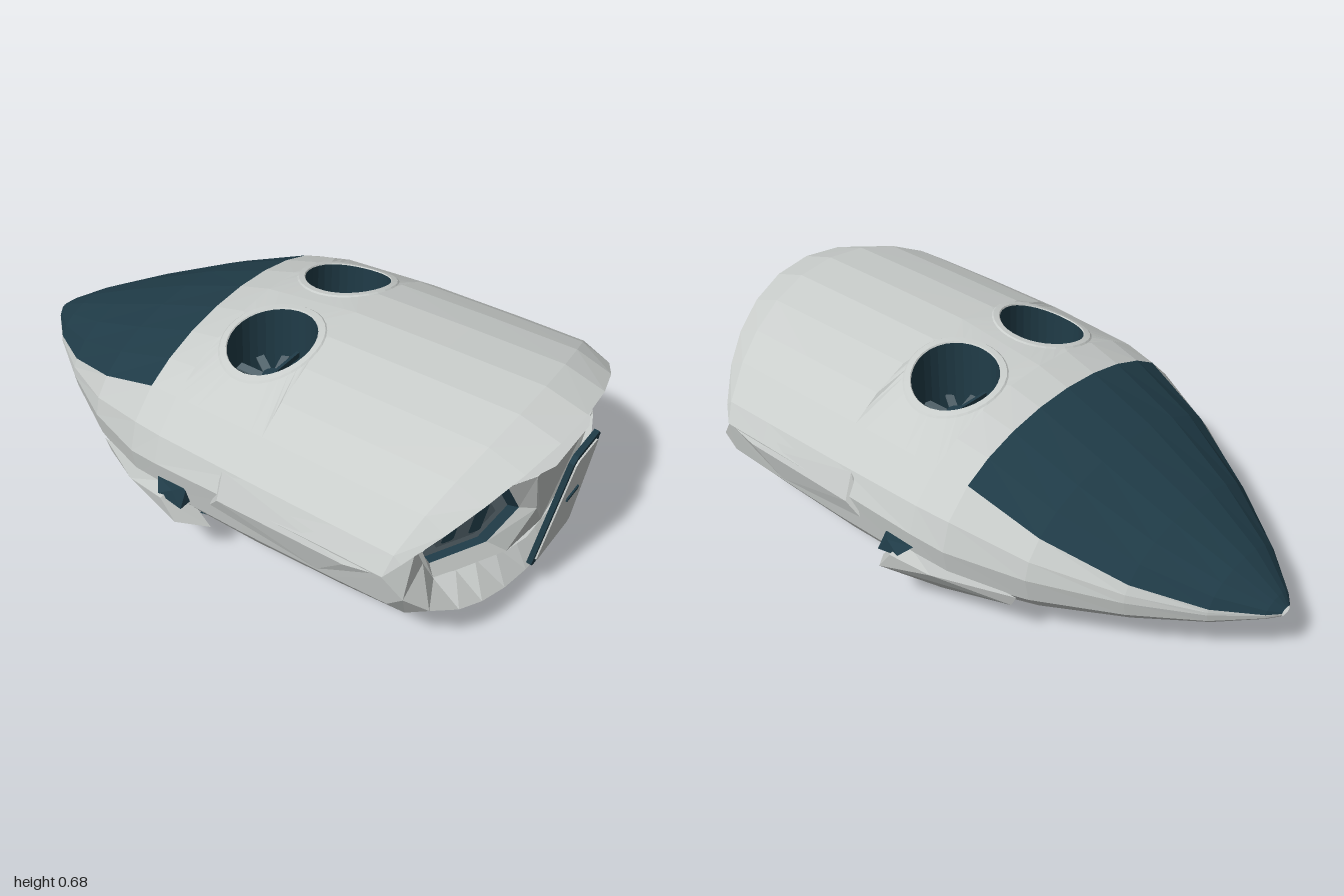
import * as THREE from 'three';
import { ConvexGeometry } from 'three/addons/geometries/ConvexGeometry.js';

const V = (x, y, z) => new THREE.Vector3(x, y, z);
const rad = THREE.MathUtils.degToRad;
const lerp = THREE.MathUtils.lerp;

function material(name, color) {
  const m = new THREE.MeshStandardMaterial({ color, flatShading: true, side: THREE.DoubleSide });
  m.name = name;
  return m;
}

// Hull stations: z, half width, seam height, top, bottom, canopy edge angle, roof power
const stations = [
  [-1, 0.022, 0.205, 0.215, 0.19, 85, 1.05], [-0.97, 0.062, 0.207, 0.24, 0.18, 84, 1.05],
  [-0.85, 0.175, 0.215, 0.315, 0.145, 78, 1.05], [-0.66, 0.312, 0.24, 0.41, 0.1, 70, 1.05],
  [-0.42, 0.457, 0.28, 0.52, 0.053, 60, 1.05], [-0.19, 0.55, 0.315, 0.607, 0.02, 53, 1.0],
  [-0.08, 0.57, 0.335, 0.64, 0.008, 53, 1.1], [0.24, 0.585, 0.36, 0.682, 0.008, 53, 1.32],
  [0.55, 0.59, 0.37, 0.688, 0.03, 53, 1.4], [0.855, 0.59, 0.37, 0.69, 0.055, 53, 1.42],
];
const FAN_BAY = 6; // station interval that holds the lift fans

function sectionAt(z) {
  let i = 0;
  while (i < stations.length - 2 && z > stations[i + 1][0]) i++;
  const a = stations[i], b = stations[i + 1];
  const k = (z - a[0]) / (b[0] - a[0]);
  return a.map((v, n) => lerp(v, b[n], k));
}

// Lens-shaped cross-section; t runs from top centre (0) to bottom centre (PI)
function lens(t, w, seam, top, bottom, roof, belly) {
  const c = Math.cos(t);
  const y = c >= 0 ? seam + (top - seam) * Math.pow(c, roof)
    : seam - (seam - bottom) * Math.pow(-c, belly);
  return [w * Math.sin(t), y];
}

function hullPoint(t, z) {
  const [, w, seam, top, bottom, , roof] = sectionAt(z);
  const [x, y] = lens(t, w, seam, top, bottom, roof, 0.75);
  return V(x, y, z);
}

// Columns 0-3 roof, 4-8 flank, 9-12 belly
function angles(edge) {
  const list = [];
  for (let i = 0; i <= 4; i++) list.push(rad(edge * i / 4));
  list.push(rad((edge + 90) / 2));
  for (let i = 0; i <= 3; i++) list.push(rad(90 + 15 * i));
  for (let i = 1; i <= 4; i++) list.push(rad(135 + 11.25 * i));
  return list;
}

// Skin between rings of points; keep(row, column) chooses the faces
function loft(rings, closed = false, keep = () => true) {
  const n = rings[0].length, index = [];
  for (let j = 0; j < rings.length - 1; j++) {
    for (let i = 0; i < (closed ? n : n - 1); i++) {
      if (!keep(j, i)) continue;
      const a = j * n + i, b = j * n + (i + 1) % n;
      index.push(a, a + n, b, b, a + n, b + n);
    }
  }
  const g = new THREE.BufferGeometry().setFromPoints(rings.flat());
  g.setIndex(index);
  g.computeVertexNormals();
  return g;
}

// Leaning rear wall, swept back towards the sides
const wallZ = (x, y) => 0.93 - 0.53 * Math.max(0, Math.abs(x) - 0.13) + 0.18 * (y - 0.37);
const onWall = (x, y, d = 0) => V(x, y, wallZ(x, y) + d);

function polygon(points) {
  return new THREE.Shape(points.map(([x, y]) => new THREE.Vector2(x, y)));
}

// Flat plate pressed against the rear wall
function wallPlate(points, depth) {
  const g = new THREE.ShapeGeometry(polygon(points));
  const p = g.attributes.position;
  for (let i = 0; i < p.count; i++) p.setZ(i, wallZ(p.getX(i), p.getY(i)) + depth);
  g.computeVertexNormals();
  return g;
}

// Square counterparts of cosine, for walking round a rectangle (k is in turns)
function squareWave(k) {
  const d = Math.abs(k - Math.round(k));
  return THREE.MathUtils.clamp(2 - 8 * d, -1, 1);
}

export function createModel() {
  const root = new THREE.Group();
  const grey = material('hull grey', 0xc9cdcb);
  const teal = material('dark teal', 0x203c48);
  const slate = material('slate', 0x687a82);
  const darkSlate = material('dark slate', 0x55666e);

  function add(parent, name, geometry, mat) {
    const m = new THREE.Mesh(geometry, mat);
    m.name = name;
    parent.add(m);
  }

  const hullRings = stations.map((s, j) => angles(s[5]).map(t => {
    const p = hullPoint(t, s[0]);
    if (j === stations.length - 1) p.z -= 0.135 * Math.sin(t) ** 2;
    return p;
  }));
  const tail = angles(53);
  // Upper and lower lips run straight back from the side corners
  const lip = tail.map(t => {
    const [x, y] = lens(t, 0.59, 0.37, 0.652, 0.115, 1.65, 0.95);
    return V(x, y, 0.718 + (y > 0.37 ? 0.945 : 0.83) * Math.abs(y - 0.37));
  });
  const recess = tail.map(t => {
    const s = Math.sin(t), c = Math.min(1, 1.9 * Math.abs(Math.cos(t)));
    const y = t < Math.PI / 2 ? 0.37 + 0.16 * c : 0.37 - 0.155 * c;
    return V(Math.min(0.45 * s, 0.45 - 0.41 * Math.abs(y - 0.37)), y, 0.86 - 0.12 * s * s);
  });
  const wallEdge = recess.map(p => onWall(p.x, p.y));
  const isCanopy = (j, i) => j < 5 && i < 4;
  const isFanBay = (j, i) => j === FAN_BAY && (i < 4 || i >= 9);

  // Each half is built on +x, then mirrored
  for (const side of [1, -1]) {
    const half = new THREE.Group();
    half.name = side > 0 ? 'leftHalf' : 'rightHalf';
    half.scale.x = side;
    root.add(half);

    add(half, 'hull', loft(hullRings, false, (j, i) => !isCanopy(j, i) && !isFanBay(j, i)), grey);
    add(half, 'canopy', loft(hullRings, false, isCanopy), teal);
    add(half, 'tailLip', loft([hullRings.at(-1), lip, recess, wallEdge]), grey);

    // Hull skin around the lift duct openings, top and bottom
    const z0 = stations[FAN_BAY][0], z1 = stations[FAN_BAY + 1][0];
    const turns = Array.from({ length: 32 }, (_, i) => i / 32);
    const rims = [];
    for (const lower of [false, true]) {
      const span = rad(lower ? 45 : 53);
      const onHull = (t, z) => hullPoint(lower ? Math.PI - t : t, z);
      const circle = r => turns.map(k => {
        const x = 0.2 + r * Math.cos(k * 2 * Math.PI), z = 0.08 + r * Math.sin(k * 2 * Math.PI);
        return onHull(Math.asin(x / sectionAt(z)[1]), z);
      });
      const border = turns.map(k => {
        const u = 2 + 2 * squareWave(k), z = lerp(z0, z1, 0.5 + 0.5 * squareWave(k - 0.25));
        const col = Math.min(3, Math.floor(u));
        return onHull(span * col / 4, z).lerp(onHull(span * (col + 1) / 4, z), u - col);
      });
      const hole = circle(0.134);
      add(half, 'fanBaySkin', loft([hole, circle(0.148), border], true), grey);
      rims.push(hole);
      // Slightly raised collar
      const lift = lower ? -0.003 : 0.004;
      const collar = [[0.134, 0], [0.137, lift], [0.155, lift], [0.16, 0]].map(([r, d]) =>
        circle(r).map(p => p.add(V(0, d, 0))));
      add(half, 'ductCollar', loft(collar, true), grey);
    }
    add(half, 'liftDuct', loft(rims, true), teal);

    // Lift fan
    const fan = new THREE.Group();
    fan.name = 'liftFan';
    fan.position.set(0.2, 0.48, 0.08);
    half.add(fan);
    add(fan, 'fanHub', new THREE.CylinderGeometry(0.032, 0.032, 0.05, 12), teal);
    for (let i = 0; i < 10; i++) {
      const blade = new THREE.BoxGeometry(0.1, 0.008, 0.026);
      blade.rotateX(0.2).translate(0.076, 0, 0).rotateY((i + 0.5) * Math.PI / 5);
      add(fan, 'fanBlade', blade, darkSlate);
    }
    add(fan, 'fanStrut', new THREE.BoxGeometry(0.26, 0.02, 0.01).translate(0, 0.02, 0), teal);
    if (side > 0) {
      add(half, 'ductShutter', new THREE.CylinderGeometry(0.133, 0.133, 0.01, 32).translate(0.2, 0.06, 0.08), teal);
    }

    // Rear wall with a hexagonal engine bay
    const hex = (s) => [[-0.083, 0.115], [0.083, 0.115], [0.147, 0], [0.083, -0.113], [-0.083, -0.113], [-0.147, 0]]
      .map(([x, y]) => [0.297 + x * s, 0.375 + y * s]);
    const outer = [[0.17, 0.53], [0.385, 0.53], [0.45, 0.37], [0.385, 0.215], [0.17, 0.215], [0.12, 0.37]];
    const ring = (pts, d) => pts.map(([x, y]) => onWall(x, y, d));
    add(half, 'rearWall', loft([ring(outer, 0), ring(hex(1), -0.03)], true), grey);
    add(half, 'centreWall', wallPlate([[0, 0.215], [0.17, 0.215], [0.12, 0.37], [0.17, 0.53], [0, 0.53]], 0), grey);
    add(half, 'bayRim', loft([ring(hex(1), -0.03), ring(hex(0.93), -0.055)], true), teal);
    add(half, 'bayFrame', wallPlate(hex(0.93), -0.055), slate);
    add(half, 'bayInset', wallPlate(hex(0.66), -0.05), darkSlate);
    for (const x of [0.255, 0.333]) {
      const w = 0.018, h = 0.056, c = 0.006;
      add(half, 'exhaustSlot', wallPlate([[-w, -h + c], [-w + c, -h], [w - c, -h], [w, -h + c],
        [w, h - c], [w - c, h], [-w + c, h], [-w, h - c]].map(([a, b]) => [x + a, 0.375 + b]), -0.042), teal);
    }

    // Side intake shroud with a dark opening at its back
    add(half, 'sideShroud', new ConvexGeometry([
      V(0.46, 0.2, -0.39), V(0.46, 0.16, -0.37), V(0.585, 0.24, -0.17), V(0.61, 0.255, -0.03),
      V(0.61, 0.185, 0.02), V(0.49, 0.1, -0.12), V(0.53, 0.14, 0.09), V(0.54, 0.27, -0.02),
    ]), grey);
    add(half, 'shroudOpening', new ConvexGeometry([
      V(0.56, 0.29, 0.03), V(0.59, 0.285, 0), V(0.598, 0.255, -0.05),
      V(0.56, 0.28, -0.08), V(0.597, 0.235, 0.035), V(0.55, 0.24, 0.04),
    ]), teal);
    add(half, 'shroudVent', new ConvexGeometry([
      V(0.43, 0.088, -0.03), V(0.41, 0.078, 0.14), V(0.47, 0.1, 0), V(0.4, 0.11, 0.08),
    ]), teal);

    // Faceted ridge along the side seam
    add(half, 'sideRidge', new ConvexGeometry([
      V(0.588, 0.37, 0.71), V(0.596, 0.35, 0.6), V(0.592, 0.34, 0.17), V(0.56, 0.43, 0.17),
      V(0.575, 0.29, 0.13), V(0.55, 0.35, 0.14), V(0.57, 0.25, 0.5),
    ]), grey);
  }

  // Leaning rear door with frame and handle
  const door = new THREE.Group();
  door.name = 'rearDoor';
  door.position.set(0, 0.145, 0.925);
  door.rotation.x = Math.atan(0.15);
  root.add(door);
  const trapezoid = (b, t, y0, y1, c) => polygon([[-b + c, y0], [b - c, y0], [b, y0 + c], [t, y1 - c],
    [t - c, y1], [-t + c, y1], [-t, y1 - c], [-b, y0 + c]]);
  const slab = (shape, depth) => new THREE.ExtrudeGeometry(shape, { depth, bevelEnabled: false });
  add(door, 'doorFrame', slab(trapezoid(0.125, 0.084, -0.005, 0.42, 0.018), 0.016), teal);
  add(door, 'doorPanel', slab(trapezoid(0.108, 0.068, 0.014, 0.4, 0.012), 0.021), grey);
  add(door, 'doorHandle', new THREE.BoxGeometry(0.07, 0.014, 0.008).translate(0, 0.225, 0.022), teal);

  return root;
}
